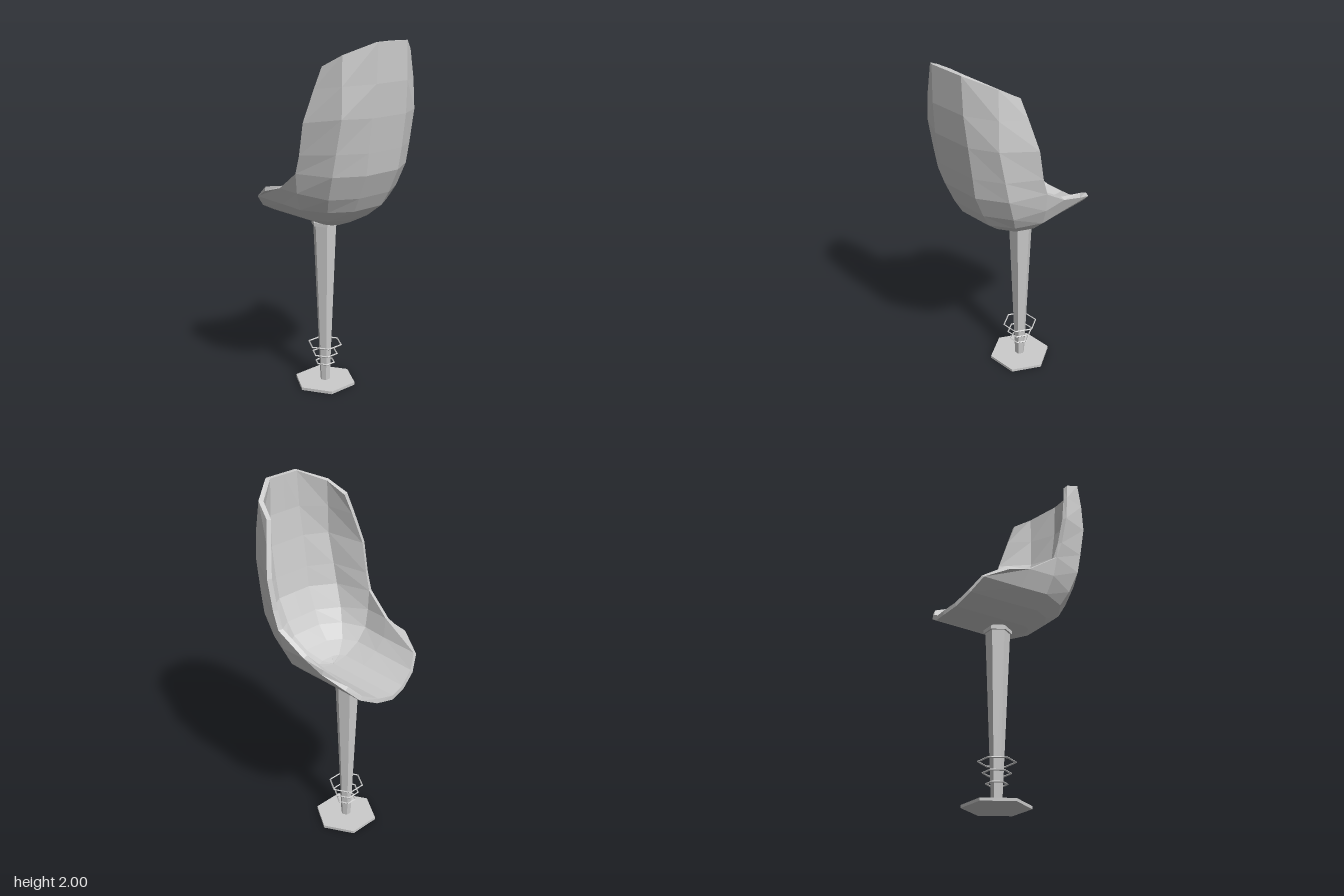
import * as THREE from 'three';
import { mergeVertices } from 'three/addons/utils/BufferGeometryUtils.js';

const material = new THREE.MeshStandardMaterial({ color: 0xcccccc, flatShading: true });
const SHELL = 0.026;
const POLE_X = -0.086;

// Half cross-sections of the shell, bottom to top: [depth, half width, height],
// each running from the middle of the back round to the open front.
const rows = [
  [[0.03, 0, 0.985], [0.025, 0, 0.985], [0.015, 0, 0.985], [-0.12, 0, 0.985], [-0.427, 0, 0.985]],
  [[0.08, 0.04, 1.0], [0.06, 0.08, 1.0], [0.02, 0.1, 1.0], [-0.12, 0.1, 1.0], [-0.411, 0.1, 1.0]],
  [[0.17, 0.08, 1.05], [0.12, 0.165, 1.05], [0.03, 0.21, 1.05], [-0.12, 0.205, 1.05], [-0.384, 0.2, 1.05]],
  [[0.255, 0.1, 1.12], [0.18, 0.22, 1.12], [0.04, 0.285, 1.12], [-0.12, 0.275, 1.12], [-0.345, 0.267, 1.12]],
  [[0.3, 0.11, 1.2], [0.22, 0.25, 1.2], [0.06, 0.325, 1.22], [-0.09, 0.316, 1.22], [-0.22, 0.314, 1.18]],
  [[0.358, 0.116, 1.33], [0.27, 0.27, 1.33], [0.072, 0.343, 1.33]],
  [[0.377, 0.12, 1.45], [0.295, 0.268, 1.45], [0.105, 0.346, 1.43]],
  [[0.402, 0.12, 1.63], [0.33, 0.262, 1.63], [0.139, 0.349, 1.6]],
  [[0.417, 0.11, 1.8], [0.325, 0.255, 1.79], [0.18, 0.31, 1.77]],
  [[0.418, 0.103, 2.0], [0.312, 0.242, 1.94], [0.206, 0.28, 1.88]],
];

function outerShell() {
  const pos = [];
  for (const side of [1, -1]) {
    const point = ([d, w, h]) => pos.push(d, h, w * side);
    const tri = (a, b, c) => (side > 0 ? [a, b, c] : [a, c, b]).forEach(point);
    const half = rows.map((r) => [[r[0][0], 0, r[0][2]], ...r]);
    for (let i = 0; i < half.length - 1; i++) {
      const lo = half[i], hi = half[i + 1];
      for (let j = 0; j < hi.length - 1; j++) {
        tri(lo[j], hi[j], lo[j + 1]);
        tri(lo[j + 1], hi[j], hi[j + 1]);
      }
      // where the side steps down to the seat, close the notch
      const n = hi.length;
      if (lo.length > n) tri(lo[n - 1], hi[n - 1], lo[n]);
    }
  }
  const g = new THREE.BufferGeometry();
  g.setAttribute('position', new THREE.Float32BufferAttribute(pos, 3));
  const welded = mergeVertices(g, 1e-4);
  welded.computeVertexNormals();
  return welded;
}

// Gives the shell thickness: outer skin, inset inner skin and a rim joining them
function seatGeometry() {
  const outer = outerShell();
  const p = outer.attributes.position, nrm = outer.attributes.normal;
  const count = p.count, idx = outer.index.array;
  const pos = Array.from(p.array);
  for (let i = 0; i < count * 3; i++) pos.push(p.array[i] - nrm.array[i] * SHELL);

  const faces = [], edges = new Map();
  for (let i = 0; i < idx.length; i += 3) {
    const [a, b, c] = [idx[i], idx[i + 1], idx[i + 2]];
    if (a === b || b === c || c === a) continue;
    faces.push(a, b, c, a + count, c + count, b + count);
    for (const [s, e] of [[a, b], [b, c], [c, a]]) edges.set(`${s},${e}`, [s, e]);
  }
  for (const [s, e] of edges.values()) {
    if (edges.has(`${e},${s}`)) continue;
    faces.push(s, s + count, e, e, s + count, e + count);
  }
  const g = new THREE.BufferGeometry();
  g.setAttribute('position', new THREE.Float32BufferAttribute(pos, 3));
  g.setIndex(faces);
  const flat = g.toNonIndexed();
  flat.computeVertexNormals();
  return flat;
}

export function createModel() {
  const model = new THREE.Group();
  model.name = 'barStool';
  const stool = new THREE.Group();
  stool.name = 'stool';
  stool.rotation.y = -0.379;
  model.add(stool);

  const add = (name, geometry, x = 0, y = 0) => {
    const mesh = new THREE.Mesh(geometry, material);
    mesh.name = name;
    mesh.position.set(x, y, 0);
    stool.add(mesh);
  };
  // Six-sided column between two heights
  const hexColumn = (name, top, bottom, y0, y1) =>
    add(name, new THREE.CylinderGeometry(top, bottom, y1 - y0, 6), POLE_X, (y0 + y1) / 2);

  add('seatShell', seatGeometry());
  hexColumn('base', 0.18, 0.18, 0, 0.016);
  hexColumn('pole', 0.068, 0.028, 0.01, 0.975);
  hexColumn('collar', 0.078, 0.078, 0.962, 0.982);
  hexColumn('seatMount', 0.066, 0.066, 0.98, 0.992);

  // Thin hexagonal rings round the foot of the pole
  [[0.055, 0.125], [0.073, 0.182], [0.098, 0.241]].forEach(([r, y], i) => {
    const ring = new THREE.TorusGeometry(r, 0.005, 4, 6);
    ring.rotateZ(Math.PI / 6).rotateX(Math.PI / 2);
    add(`footRing${i + 1}`, ring, POLE_X, y);
  });
  return model;
}
